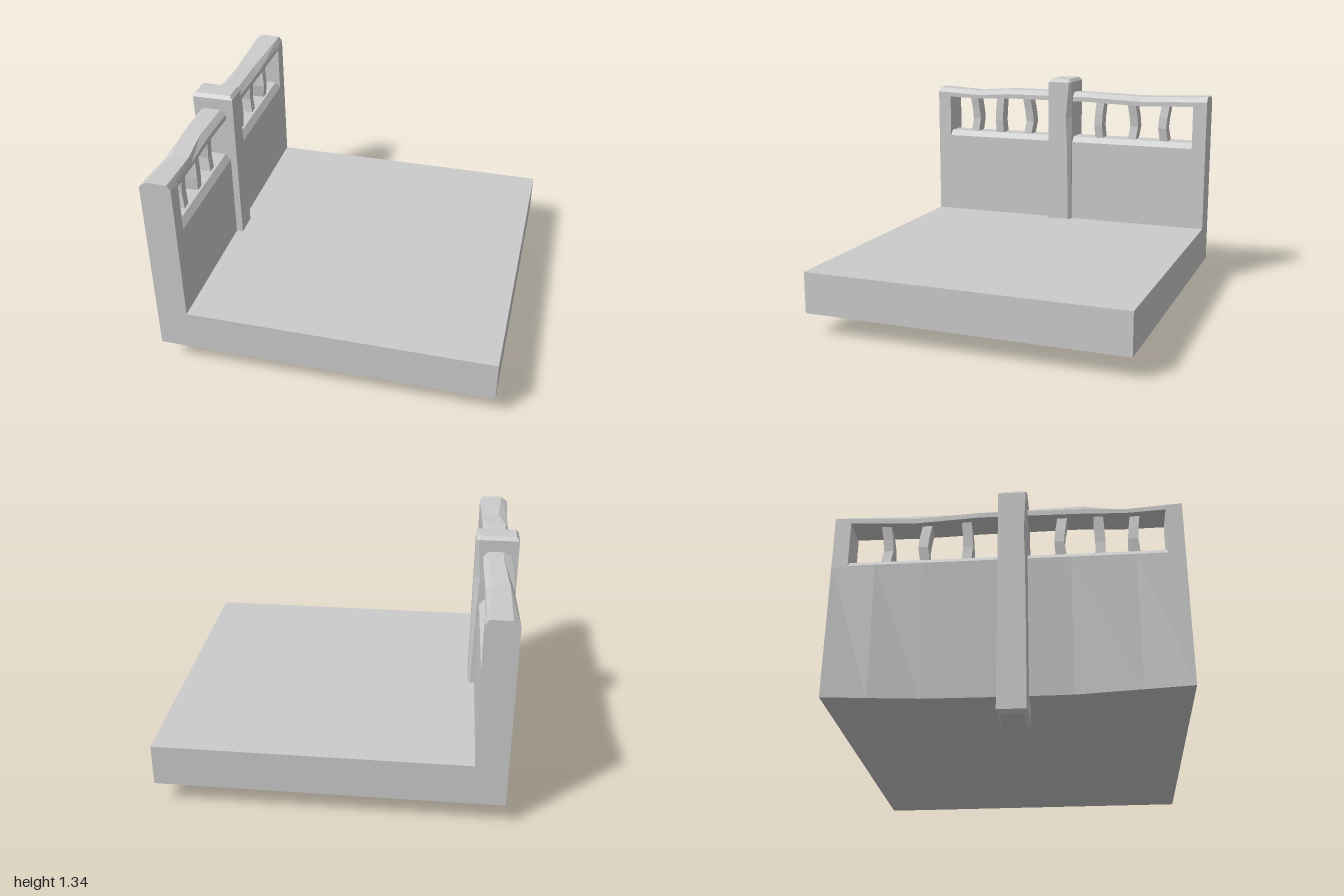
import * as THREE from 'three';

const material = new THREE.MeshStandardMaterial({ color: 0xcccccc, flatShading: true });

function add(group, name, geometry) {
  const mesh = new THREE.Mesh(geometry, material);
  mesh.name = name;
  group.add(mesh);
  return mesh;
}

// Box given by its lower and upper limits
function box(x0, x1, y0, y1, z0, z1) {
  return new THREE.BoxGeometry(x1 - x0, y1 - y0, z1 - z0)
    .translate((x0 + x1) / 2, (y0 + y1) / 2, (z0 + z1) / 2);
}

// Joins equal-length cross-sections into a closed, faceted solid
function loft(rings) {
  const v = rings.map(r => r.map(p => new THREE.Vector3(...p)));
  const n = v[0].length, last = v[v.length - 1], tris = [];
  for (let i = 0; i < v.length - 1; i++) {
    for (let j = 0; j < n; j++) {
      const k = (j + 1) % n;
      tris.push([v[i][j], v[i][k], v[i + 1][k]], [v[i][j], v[i + 1][k], v[i + 1][j]]);
    }
  }
  for (let j = 1; j < n - 1; j++) {
    tris.push([v[0][0], v[0][j + 1], v[0][j]], [last[0], last[j], last[j + 1]]);
  }
  // The signed volume tells whether the faces point outward
  let volume = 0;
  for (const [a, b, c] of tris) volume += a.dot(new THREE.Vector3().crossVectors(b, c));
  const points = tris.flatMap(([a, b, c]) => (volume < 0 ? [a, c, b] : [a, b, c]));
  const geometry = new THREE.BufferGeometry().setFromPoints(points);
  geometry.computeVertexNormals();
  return geometry;
}

export function createModel() {
  const model = new THREE.Group();
  model.name = 'balconySection';

  // Floor slab
  add(model, 'floor', box(-0.79, 1, 0.13, 0.375, -0.96, 0.96));

  // Wall with a bevelled sill; its outer foot is worn inward: [z, wear]
  const wear = [[-0.96, 0], [-0.72, 0.03], [-0.45, 0.06], [0, 0.07], [0.35, 0.07], [0.7, 0.03], [0.96, 0]];
  add(model, 'wall', loft(wear.map(([z, w]) => [
    [-0.79, 0.13, z], [-0.79, 0.91, z], [-0.82, 0.945, z],
    [-0.94, 0.945, z], [-0.97, 0.91, z], [-0.97 + w, 0.13, z],
  ])));

  // End posts of the railing
  for (const s of [-1, 1]) {
    add(model, 'endPost', box(-0.97, -0.79, 0.9, 1.215, Math.min(s * 0.87, s * 0.96), Math.max(s * 0.87, s * 0.96)));
  }

  // Uneven handrail: [z, outer top x, inner top x, bottom y, top y, side inset]
  const rail = [
    [-0.96, -0.93, -0.81, 1.19, 1.25, 0],
    [-0.5, -0.935, -0.835, 1.175, 1.235, 0.012],
    [-0.15, -0.91, -0.825, 1.19, 1.25, 0.005],
    [0.42, -0.94, -0.835, 1.19, 1.25, 0.012],
    [0.65, -0.905, -0.815, 1.18, 1.235, 0.01],
    [0.96, -0.93, -0.81, 1.19, 1.25, 0],
  ];
  add(model, 'handrail', loft(rail.map(([z, xo, xi, y0, y1, d]) => [
    [-0.97 + d, y0, z], [-0.97 + d, y1 - 0.03, z], [xo, y1, z],
    [xi, y1, z], [-0.79 - d, y1 - 0.03, z], [-0.79 - d, y0, z],
  ])));

  // Crooked balusters: [z, bend]
  const balusters = [[0.7, -0.012], [0.505, 0.006], [0.3, -0.014], [-0.225, 0.008], [-0.45, -0.014], [-0.675, 0.014]];
  for (const [z, bend] of balusters) {
    const levels = [[0.93, 0], [1.03, bend], [1.1, bend * 0.6], [1.2, -bend * 0.4]];
    add(model, 'baluster', loft(levels.map(([y, b]) => [
      [-0.925 + b, y, z - 0.027 + b], [-0.835 + b, y, z - 0.027 + b],
      [-0.835 + b, y, z + 0.027 + b], [-0.925 + b, y, z + 0.027 + b],
    ])));
  }

  // Hewn main post: [y, inset, corner cut]
  const post = [[0, 0.018, 0.012], [0.02, 0, 0.012], [0.38, 0, 0.014], [0.9, 0, 0.025],
    [1.08, 0, 0.035], [1.2, 0, 0.025], [1.32, 0, 0.014], [1.34, 0.018, 0.012]];
  add(model, 'mainPost', loft(post.map(([y, i, c]) => {
    const x0 = -1 + i, x1 = -0.75 - i, z0 = -0.045 + i, z1 = 0.115 - i;
    return [
      [x1, y, z1], [x1, y, z0 + c], [x1 - c, y, z0],
      [x0, y, z0], [x0, y, z1 - c * 0.5], [x0 + c * 0.5, y, z1],
    ];
  })));

  return model;
}
